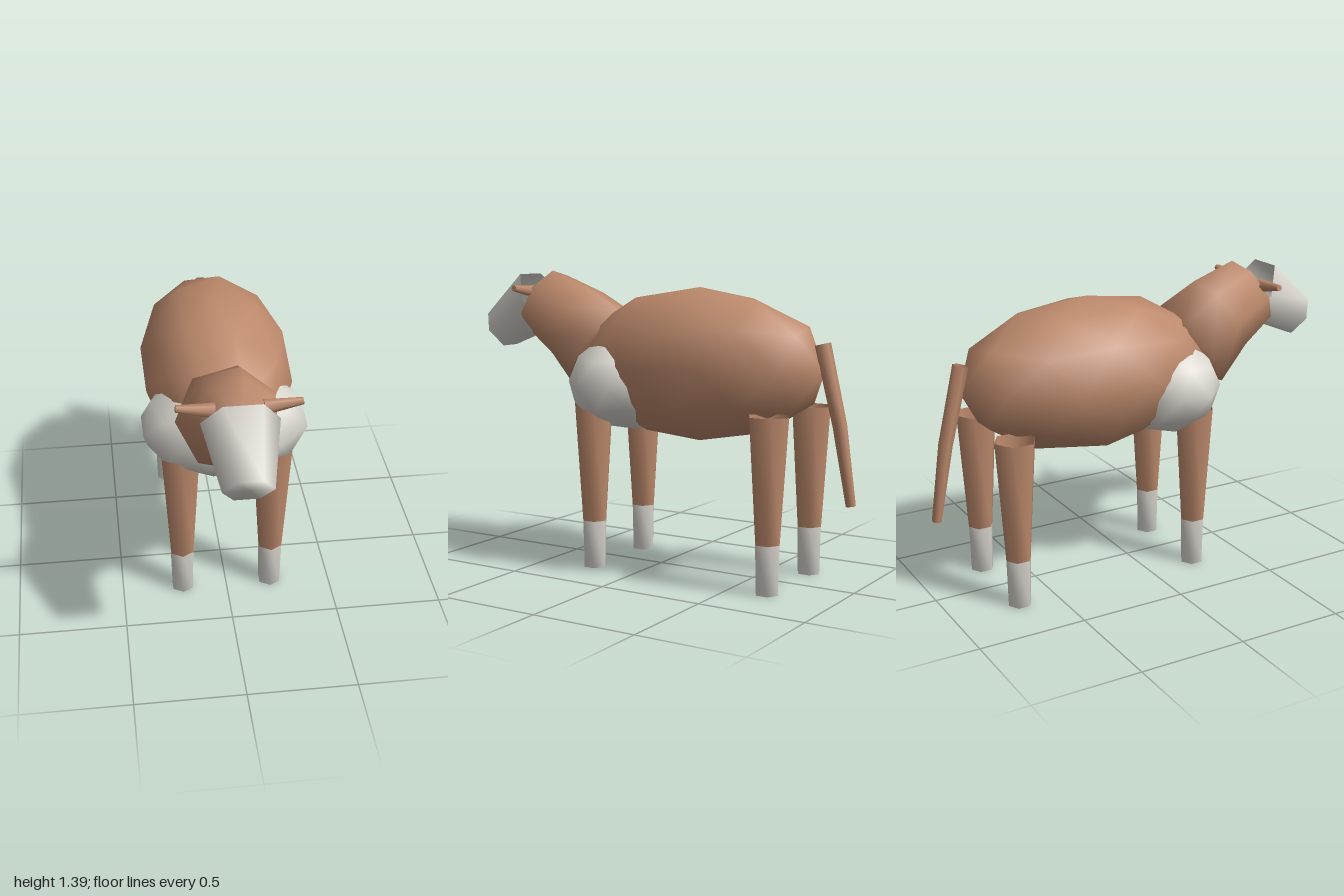
import * as THREE from 'three';

const brown = new THREE.MeshStandardMaterial({ color: 0xbd8a6c, side: THREE.DoubleSide });
brown.name = 'brown hide';
const white = new THREE.MeshStandardMaterial({ color: 0xd9d6ce, side: THREE.DoubleSide });
white.name = 'off white';

// Tapered tube through [z, y, radius] sections, bending in the x = 0 plane
function loft(path, sides, phase, capStart, capEnd) {
  const pos = [], index = [], last = path.length - 1;
  path.forEach(([z, y, r], i) => {
    const a = path[Math.max(i - 1, 0)], b = path[Math.min(i + 1, last)];
    const t = new THREE.Vector2(b[0] - a[0], b[1] - a[1]).normalize();
    for (let j = 0; j < sides; j++) {
      const angle = phase + (j / sides) * Math.PI * 2;
      const s = Math.sin(angle) * r;
      pos.push(Math.cos(angle) * r, y + t.x * s, z - t.y * s);
      if (i < last) {
        const k = (j + 1) % sides, p = i * sides, q = p + sides;
        index.push(p + j, p + k, q + j, p + k, q + k, q + j);
      }
    }
  });
  const cap = (i, flip) => {
    const c = pos.length / 3;
    pos.push(0, path[i][1], path[i][0]);
    for (let j = 0; j < sides; j++) {
      const a = i * sides + j, b = i * sides + ((j + 1) % sides);
      index.push(c, flip ? b : a, flip ? a : b);
    }
  };
  if (capStart) cap(0, true);
  if (capEnd) cap(last, false);
  const geo = new THREE.BufferGeometry();
  geo.setAttribute('position', new THREE.Float32BufferAttribute(pos, 3));
  geo.setIndex(index);
  geo.computeVertexNormals();
  return geo;
}

// Smooth low-poly ball with a vertex at the top, stretched to an ellipsoid
function ball(rx, ry, rz) {
  const geo = new THREE.IcosahedronGeometry(1, 1);
  geo.rotateX(-Math.atan((1 + Math.sqrt(5)) / 2));
  geo.rotateY(Math.PI / 2);
  return geo.scale(rx, ry, rz);
}

export function createModel() {
  const model = new THREE.Group();
  model.name = 'animal';
  const add = (name, geo, mat, x = 0, y = 0, z = 0, parent = model) => {
    const mesh = new THREE.Mesh(geo, mat);
    mesh.name = name;
    mesh.position.set(x, y, z);
    parent.add(mesh);
    return mesh;
  };

  // Torso
  add('body', ball(0.358, 0.355, 0.63), brown, 0, 0.97, -0.21);
  add('chest', ball(0.392, 0.24, 0.28), white, 0, 0.88, 0.145);

  // Neck and head
  add('neck', loft([[0.322, 1.013, 0.238], [0.5, 1.15, 0.2], [0.68, 1.246, 0.168]],
    7, Math.PI, true, true), brown);
  add('muzzle', loft([[0.695, 1.25, 0.165], [0.955, 1.09, 0.107]], 6, 0, false, true), white);

  // Tail
  add('tail', loft([[-0.828, 1.09, 0.036], [-0.915, 0.74, 0.032], [-0.975, 0.387, 0.022]],
    6, 0, false, true), brown);

  // Legs: open brown tubes ending in white socks
  const upper = loft([[0, 0.225, 0.06], [0, 0.787, 0.097]], 6, Math.PI / 6, false, false);
  const sock = loft([[0, 0, 0.055], [0, 0.225, 0.06]], 6, Math.PI / 6, true, false);
  for (const side of [1, -1]) {
    for (const [name, z] of [['front', 0.24], ['rear', -0.678]]) {
      const leg = new THREE.Group();
      leg.name = name + (side > 0 ? 'LeftLeg' : 'RightLeg');
      leg.position.set(side * 0.212, 0, z);
      add('upperLeg', upper, brown, 0, 0, 0, leg);
      add('sock', sock, white, 0, 0, 0, leg);
      model.add(leg);
    }

    // Ears, thin cones pointing outwards
    const ear = add(side > 0 ? 'leftEar' : 'rightEar',
      new THREE.CylinderGeometry(0.015, 0.032, 0.16, 6), brown, side * 0.182, 1.3, 0.668);
    ear.rotation.z = -side * (Math.PI / 2 - 0.12);
  }
  return model;
}
